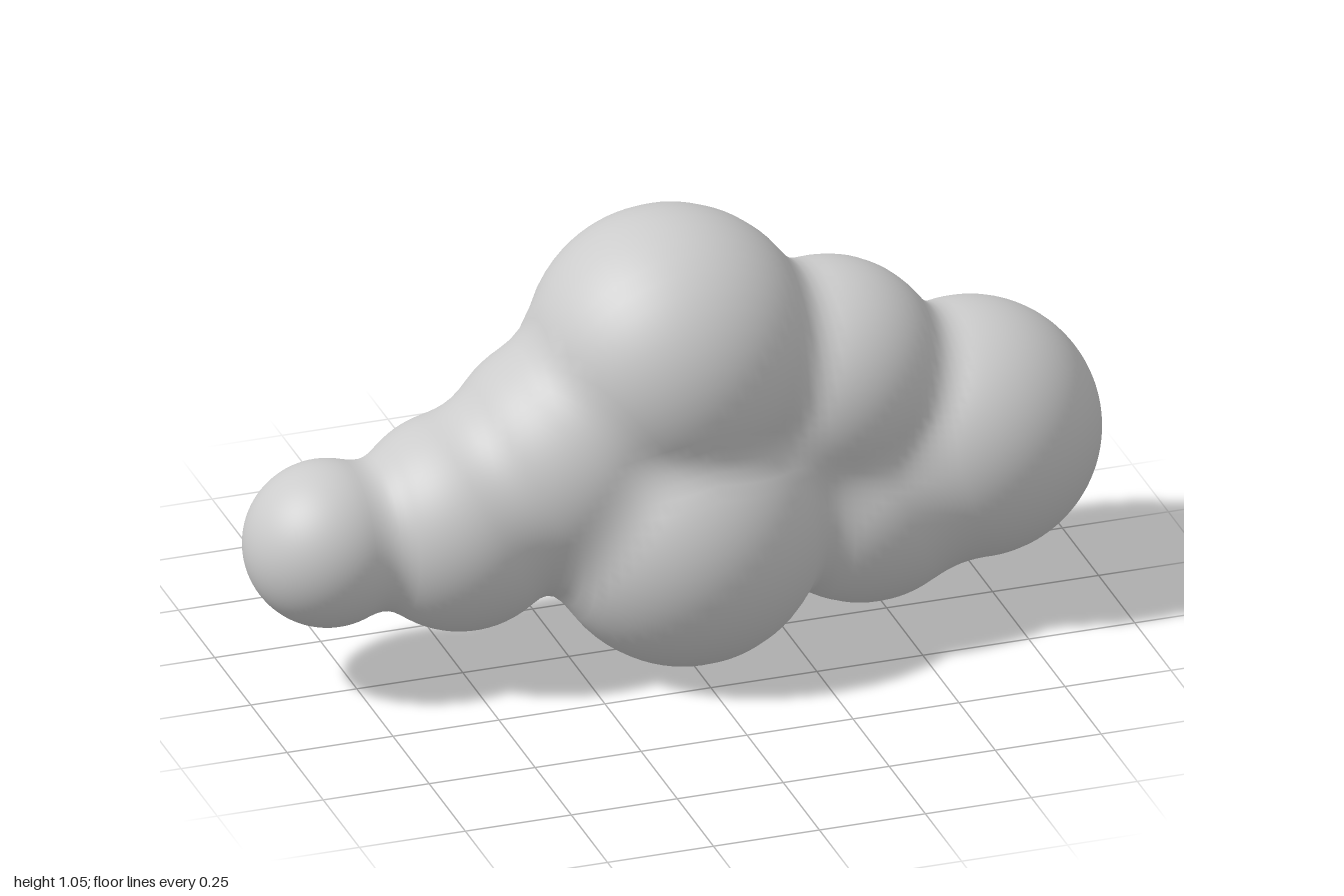
import * as THREE from 'three';
import { ParametricGeometry } from 'three/addons/geometries/ParametricGeometry.js';

// Puffs of the cloud: x, y, z, radius
const PUFFS = [
  [-0.81, 0.36, -0.03, 0.19],
  [-0.5, 0.37, -0.025, 0.25],
  [-0.24, 0.49, -0.025, 0.285],
  [0, 0.715, -0.025, 0.33],
  [0, 0.32, 0.06, 0.32],
  [0.18, 0.41, -0.085, 0.295],
  [0.37, 0.59, -0.03, 0.27],
  [0.45, 0.315, -0.04, 0.28],
  [0.705, 0.41, -0.025, 0.295],
];
const BLEND = 0.06;

// Centre line running through the puffs: x, y
const SPINE = [[-1, 0.36], [-0.81, 0.36], [-0.5, 0.37], [-0.24, 0.45], [0, 0.5], [0.37, 0.46], [0.705, 0.41], [1, 0.41]];
const SPINE_Z = -0.027;

function spineY(x) {
  let i = 1;
  while (i < SPINE.length - 1 && x > SPINE[i][0]) i++;
  const [a, b] = [SPINE[i - 1], SPINE[i]];
  return THREE.MathUtils.mapLinear(x, a[0], b[0], a[1], b[1]);
}

// Distance to the softly merged puffs
function distance(x, y, z) {
  let d = Infinity;
  for (const [px, py, pz, r] of PUFFS) {
    const e = Math.hypot(x - px, y - py, z - pz) - r;
    const h = Math.max(BLEND - Math.abs(d - e), 0);
    d = Math.min(d, e) - (h * h) / (4 * BLEND);
  }
  return d;
}

// Skin point: step inwards to the surface around the centre line
function skin(u, v, target) {
  const x = -Math.cos(u * Math.PI);
  const angle = -v * Math.PI * 2;
  const c = Math.cos(angle), s = Math.sin(angle), y = spineY(x);
  let r = 0.8;
  if (u <= 0 || u >= 1) r = 0;
  for (let i = 0; i < 60 && r > 0; i++) {
    const d = distance(x, y + r * c, SPINE_Z + r * s);
    if (d < 1e-4) break;
    r = Math.max(0, r - d);
  }
  target.set(x, y + r * c, SPINE_Z + r * s);
}

export function createModel() {
  const geometry = new ParametricGeometry(skin, 140, 72);

  // Smooth normals follow the slope of the distance
  const p = geometry.attributes.position, n = geometry.attributes.normal;
  const normal = new THREE.Vector3(), e = 0.004;
  for (let i = 0; i < p.count; i++) {
    const x = p.getX(i), y = p.getY(i), z = p.getZ(i);
    normal.set(
      distance(x + e, y, z) - distance(x - e, y, z),
      distance(x, y + e, z) - distance(x, y - e, z),
      distance(x, y, z + e) - distance(x, y, z - e),
    ).normalize();
    n.setXYZ(i, normal.x, normal.y, normal.z);
  }

  const cloud = new THREE.Mesh(geometry, new THREE.MeshStandardMaterial({ color: 0xcccccc }));
  cloud.name = 'cloud';
  const group = new THREE.Group();
  group.name = 'cloudModel';
  group.add(cloud);
  return group;
}
